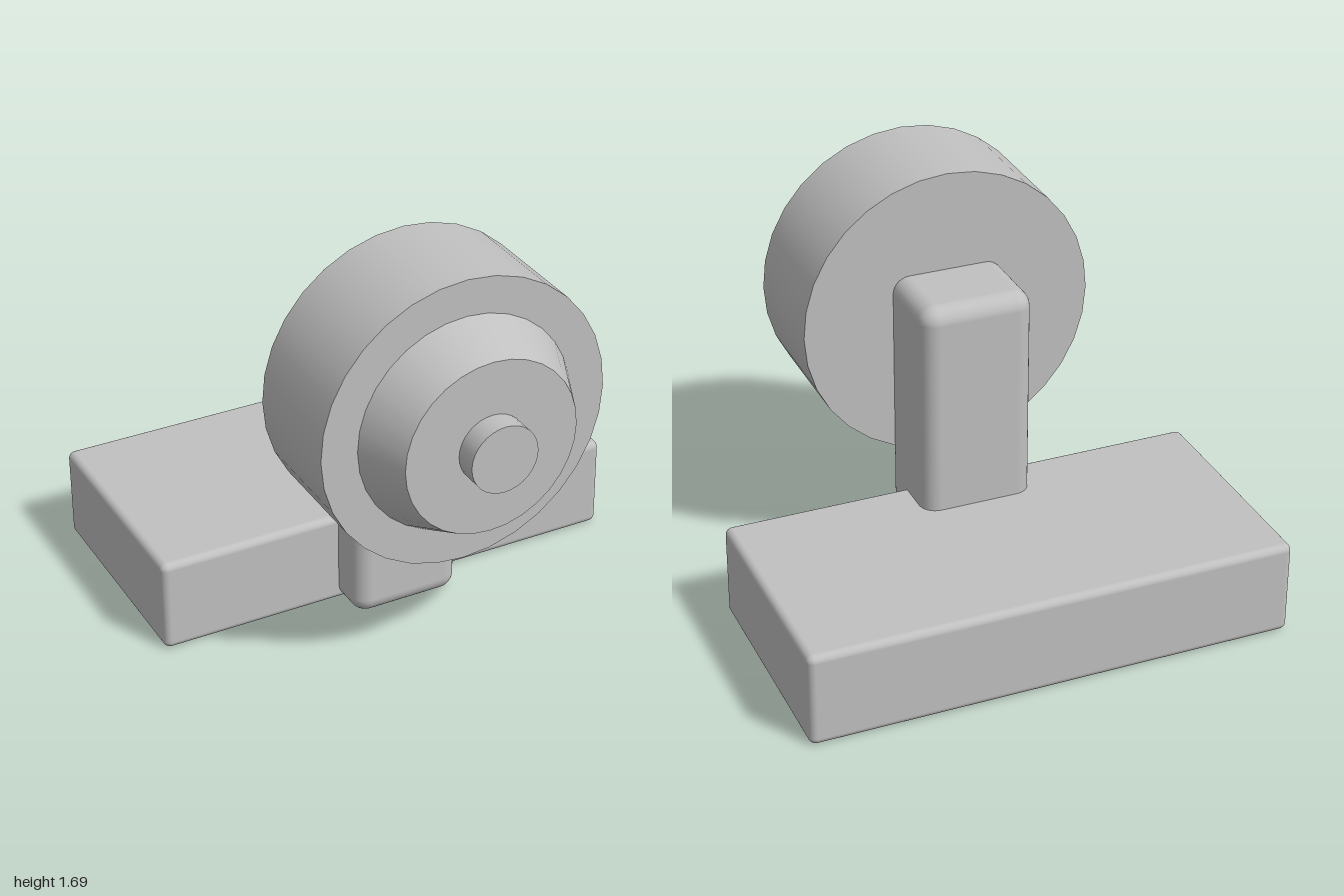
import * as THREE from 'three';
import { RoundedBoxGeometry } from 'three/addons/geometries/RoundedBoxGeometry.js';

export function createModel() {
  const model = new THREE.Group();
  const grey = new THREE.MeshStandardMaterial({ color: 0xc0c0c0 });
  grey.name = 'plain grey';

  const add = (name, geometry, x, y, z) => {
    const mesh = new THREE.Mesh(geometry, grey);
    mesh.name = name;
    mesh.position.set(x, y, z);
    model.add(mesh);
  };

  // Rounded block given by its half width and its y and z ranges
  const block = (name, halfWidth, y0, y1, z0, z1, radius) =>
    add(name, new RoundedBoxGeometry(halfWidth * 2, y1 - y0, z1 - z0, 4, radius),
      0, (y0 + y1) / 2, (z0 + z1) / 2);

  // Round part along z, all sharing one axis
  const axisY = 1.088;
  const disc = (name, backRadius, frontRadius, z0, z1) =>
    add(name, new THREE.CylinderGeometry(frontRadius, backRadius, z1 - z0, 32).rotateX(Math.PI / 2),
      0, axisY, (z0 + z1) / 2);

  // Flat base and the upright that carries the head
  block('base', 1, 0, 0.395, -0.94, 0.045, 0.03);
  block('post', 0.232, 0, 1.283, -0.175, 0.21, 0.07);

  // Head: wide drum, tapered collar, small knob
  disc('drum', 0.603, 0.603, 0.155, 0.645);
  disc('collar', 0.453, 0.362, 0.645, 0.845);
  disc('knob', 0.14, 0.14, 0.845, 0.94);

  return model;
}
